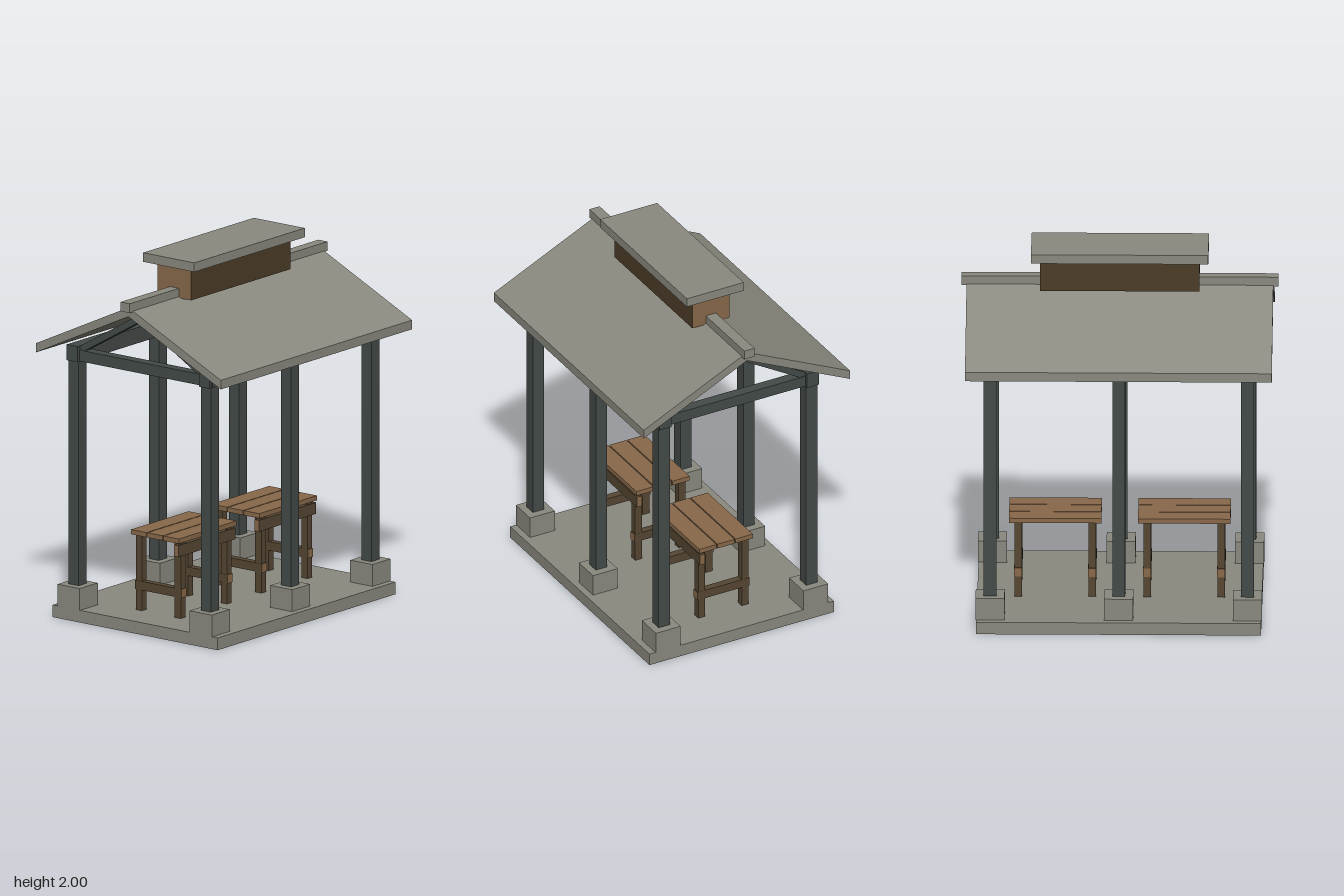
import * as THREE from 'three';

const mat = (name, color) => {
  const m = new THREE.MeshStandardMaterial({ color });
  m.name = name;
  return m;
};

export function createModel() {
  const stone = mat('stone', 0x8b8a80);
  const frame = mat('painted frame', 0x444b48);
  const wood = mat('light wood', 0x89694a);
  const darkWood = mat('dark wood', 0x564733);
  const louvre = mat('louvre brown', 0x4d3d27);

  const model = new THREE.Group();
  model.name = 'picnicShelter';

  // Box given by its low and high corner on each axis
  function box(parent, name, material, [x0, x1], [y0, y1], [z0, z1]) {
    const mesh = new THREE.Mesh(new THREE.BoxGeometry(x1 - x0, y1 - y0, z1 - z0), material);
    mesh.position.set((x0 + x1) / 2, (y0 + y1) / 2, (z0 + z1) / 2);
    mesh.name = name;
    parent.add(mesh);
    return mesh;
  }

  // Inverted-V profile in the z-y plane, extruded along x
  function gable(parent, name, material, halfSpan, apexY, eaveY, thick, x, width) {
    const shape = new THREE.Shape([
      [-halfSpan, eaveY], [-halfSpan, eaveY - thick], [0, apexY - thick],
      [halfSpan, eaveY - thick], [halfSpan, eaveY], [0, apexY],
    ].map(([a, b]) => new THREE.Vector2(a, b)));
    const geo = new THREE.ExtrudeGeometry(shape, { depth: width, bevelEnabled: false });
    geo.translate(0, 0, -width / 2);
    geo.rotateY(Math.PI / 2);
    const mesh = new THREE.Mesh(geo, material);
    mesh.position.x = x;
    mesh.name = name;
    parent.add(mesh);
  }

  // Floor
  box(model, 'floorSlab', stone, [-0.755, 0.755], [0, 0.067], [-0.56, 0.56]);

  // Posts on footings, with a roof truss over each pair
  for (const x of [-0.682, 0, 0.682]) {
    for (const z of [-0.448, 0.448]) {
      box(model, 'footing', stone, [x - 0.077, x + 0.077], [0.067, 0.187], [z - 0.075, z + 0.075]);
      box(model, 'post', frame, [x - 0.034, x + 0.034], [0.187, 1.43], [z - 0.034, z + 0.034]);
    }
    box(model, 'tieBeam', frame, [x - 0.03, x + 0.03], [1.416, 1.477], [-0.489, 0.489]);
    gable(model, 'rafters', frame, 0.43, 1.74, 1.488, 0.041, x, 0.052);
  }

  // Long beams along the eaves
  for (const z of [-0.448, 0.448]) {
    box(model, 'eaveBeam', frame, [-0.73, 0.73], [1.414, 1.5], [z - 0.036, z + 0.036]);
  }

  // Roof and ridge cap
  gable(model, 'roof', stone, 0.627, 1.797, 1.5, 0.05, 0, 1.626);
  box(model, 'ridgeCap', stone, [-0.84, 0.84], [1.777, 1.828], [-0.031, 0.031]);

  // Roof vent with dark long sides and light ends
  box(model, 'ventBody', [wood, wood, louvre, louvre, louvre, louvre],
    [-0.422, 0.422], [1.775, 1.95], [-0.113, 0.113]);
  box(model, 'ventCap', stone, [-0.47, 0.47], [1.95, 2], [-0.173, 0.173]);

  // Two tables
  for (const side of [-1, 1]) {
    const table = new THREE.Group();
    table.name = 'table';
    table.position.x = side * 0.342;
    model.add(table);

    for (const z of [-0.11, 0, 0.11]) {
      box(table, 'topPlank', wood, [-0.245, 0.245], [0.484, 0.51], [z - 0.052, z + 0.052]);
    }
    for (const x of [-0.196, 0.196]) {
      for (const z of [-0.132, 0.132]) {
        box(table, 'leg', darkWood, [x - 0.02, x + 0.02], [0.067, 0.484], [z - 0.021, z + 0.021]);
      }
      box(table, 'stretcher', [darkWood, darkWood, darkWood, darkWood, wood, wood],
        [x - 0.021, x + 0.021], [0.18, 0.228], [-0.158, 0.158]);
    }
    box(table, 'apron', [wood, wood, darkWood, darkWood, darkWood, darkWood],
      [-0.243, 0.243], [0.41, 0.472], [0.128, 0.158]);
  }

  return model;
}
